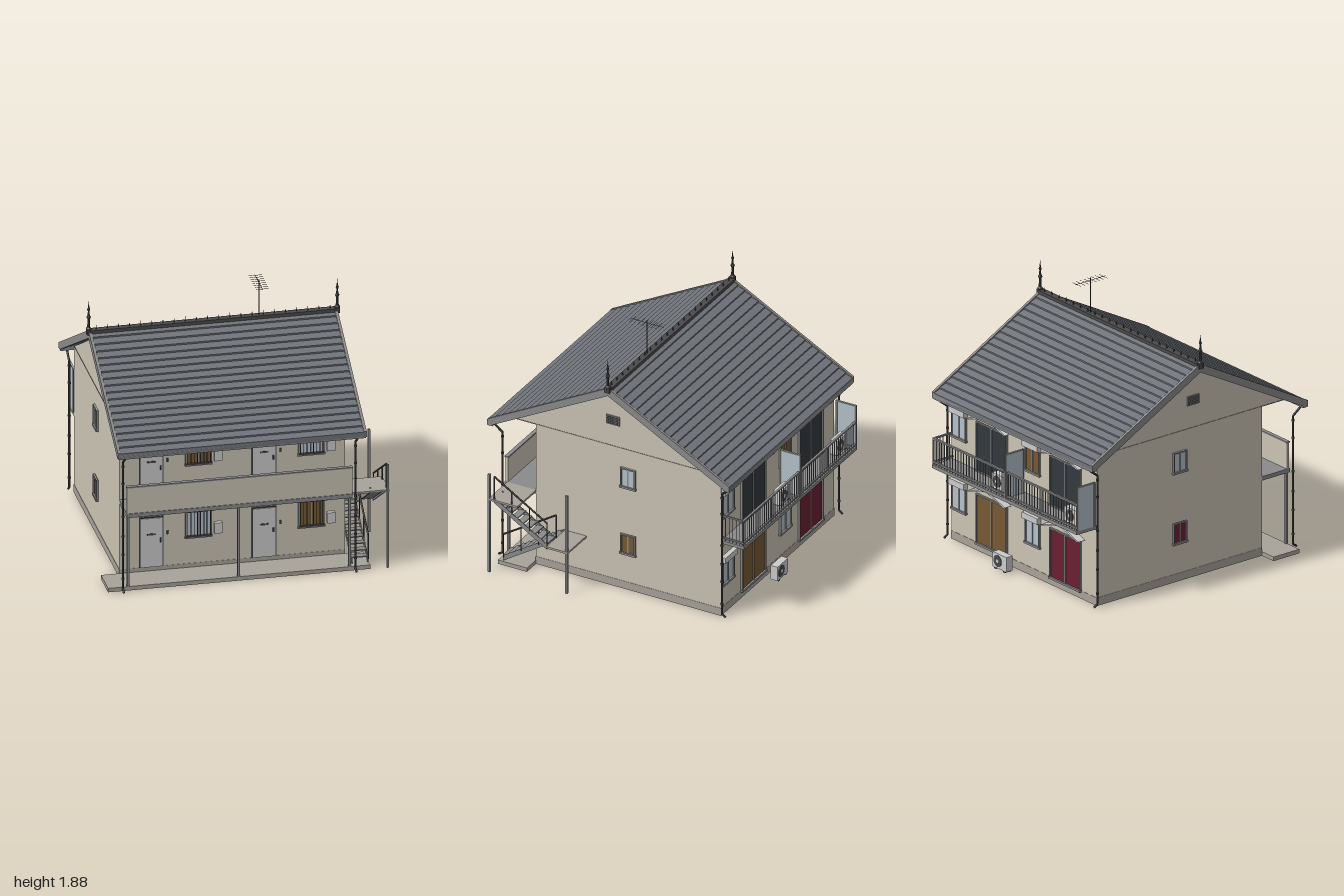
import * as THREE from 'three';

const C = { wall: 0xcbc4b5, grey: 0x8a8a8a, light: 0xc4c6c4, dark: 0x4a4a4c, roof: 0x70747a, slab: 0xa8a39a,
  blue: 0xb4c1ca, brown: 0x765834, red: 0x6a1f30, navy: 0x33393f };
const mats = {};
const mat = (c) => (mats[c] ??= new THREE.MeshStandardMaterial({ color: c, flatShading: true }));

function add(parent, name, geo, color) {
  const m = new THREE.Mesh(geo, mat(color));
  m.name = name;
  parent.add(m);
  return m;
}
// box from its minimum and maximum on each axis
function box(parent, name, x0, x1, y0, y1, z0, z1, color) {
  const m = add(parent, name, new THREE.BoxGeometry(x1 - x0, y1 - y0, z1 - z0), color);
  m.position.set((x0 + x1) / 2, (y0 + y1) / 2, (z0 + z1) / 2);
  return m;
}
// round bar between two points
function bar(parent, name, p, q, r, color = C.dark, sides = 6) {
  const a = new THREE.Vector3(...p), b = new THREE.Vector3(...q), d = b.clone().sub(a);
  const m = add(parent, name, new THREE.CylinderGeometry(r, r, d.length(), sides), color);
  m.position.copy(a).add(b).multiplyScalar(0.5);
  m.quaternion.setFromUnitVectors(new THREE.Vector3(0, 1, 0), d.normalize());
  return m;
}
// profile of [z, y] points extruded along x
function extrudeX(parent, name, pts, x0, x1, color) {
  const s = new THREE.Shape(pts.map(([z, y]) => new THREE.Vector2(-z, y)));
  const g = new THREE.ExtrudeGeometry(s, { depth: x1 - x0, bevelEnabled: false });
  g.rotateY(Math.PI / 2).translate(x0, 0, 0);
  return add(parent, name, g, color);
}
// group whose local +z points out of a wall
function onWall(parent, name, x, y, z, turn) {
  const g = new THREE.Group();
  g.name = name;
  g.position.set(x, y, z);
  g.rotation.y = turn;
  parent.add(g);
  return g;
}
// framed two-pane window, origin at the bottom centre
function windowUnit(g, w, h, pane) {
  const t = 0.01;
  box(g, 'pane', -w / 2, w / 2, 0, h, 0, 0.006, pane);
  for (const s of [-1, 1]) box(g, 'frameSide', s * w / 2 - t / 2, s * w / 2 + t / 2, 0, h, 0, 0.015, C.grey);
  box(g, 'mullion', -t / 2, t / 2, 0, h, 0, 0.012, C.grey);
  box(g, 'frameTop', -w / 2, w / 2, h - t, h, 0, 0.015, C.grey);
  box(g, 'sill', -w / 2 - t, w / 2 + t, -t, t / 2, 0, 0.02, C.grey);
}
// small gabled canopy of two sloping boards
function canopy(g, w, y, rise, depth) {
  const t = 0.016, s = new THREE.Shape();
  [[-w / 2, y], [0, y + rise], [w / 2, y], [w / 2 - t, y - 0.007], [0, y + rise - t], [t - w / 2, y - 0.007]]
    .forEach(([a, b], i) => (i ? s.lineTo(a, b) : s.moveTo(a, b)));
  add(g, 'canopy', new THREE.ExtrudeGeometry(s, { depth, bevelEnabled: false }), C.light);
  box(g, 'canopyPeak', -0.01, 0.01, y + rise - 0.01, y + rise + 0.012, 0, depth + 0.004, C.grey);
}
function outdoorUnit(parent, x, y, z) {
  const g = onWall(parent, 'airConditioner', x, y, z, Math.PI);
  box(g, 'case', -0.075, 0.075, 0.01, 0.12, -0.025, 0.03, C.light);
  for (const s of [-1, 1]) box(g, 'foot', s * 0.05 - 0.01, s * 0.05 + 0.01, 0, 0.01, -0.025, 0.03, C.dark);
  const fan = add(g, 'fan', new THREE.CylinderGeometry(0.043, 0.043, 0.004, 20), C.dark);
  fan.rotation.x = Math.PI / 2;
  fan.position.set(-0.02, 0.065, 0.031);
  const hub = add(g, 'fanHub', new THREE.CylinderGeometry(0.014, 0.014, 0.008, 12), C.light);
  hub.rotation.x = Math.PI / 2;
  hub.position.set(-0.02, 0.065, 0.031);
}

function buildShell(g) {
  box(g, 'foundation', -0.872, 0.732, 0, 0.06, -0.822, 0.652, C.slab);
  box(g, 'walls', -0.87, 0.73, 0.06, 1.12, -0.82, 0.65, C.wall);
  extrudeX(g, 'attic', [[0.86, 1.12], [0.035, 1.565], [-0.8, 1.12]], -0.872, 0.732, C.wall);
  for (const x of [-0.874, 0.73]) box(g, 'gableTrim', x, x + 0.004, 1.115, 1.121, -0.8, 0.86, C.grey);
  box(g, 'groundSlab', -1, 0.86, 0, 0.03, 0.65, 0.88, C.slab);
}

function buildRoof(g) {
  const rows = 18, ridgeY = 1.605, eaveY = 1.088;
  for (const eave of [0.995, -0.93]) {
    // stepped tile courses over a flat underside
    const pts = [[0.035, ridgeY]];
    for (let i = 1; i <= rows; i++) {
      const t = i / rows, z = 0.035 + (eave - 0.035) * t, y = ridgeY + (eaveY - ridgeY) * t;
      pts.push([z, y + 0.008]);
      if (i < rows) pts.push([z, y - 0.003]);
    }
    pts.push([eave, eaveY - 0.03], [0.035, ridgeY - 0.045]);
    extrudeX(g, 'roofSlope', pts, -0.95, 0.805, C.roof);
    const s = Math.sign(eave);
    for (const x of [-0.955, 0.79])
      extrudeX(g, 'bargeBoard', [[0.035, ridgeY + 0.012], [eave, eaveY + 0.012], [eave, eaveY - 0.03],
        [eave - s * 0.03, eaveY - 0.03], [0.035, ridgeY - 0.05]], x, x + 0.02, C.grey);
    // gutter and downpipes
    box(g, 'gutter', -0.95, 0.805, 1.05, 1.085, Math.min(eave, eave - s * 0.04), Math.max(eave, eave - s * 0.04), C.grey);
    const zp = s > 0 ? 0.905 : -0.84;
    for (const x of [-0.9, 0.75]) {
      const path = [[x, 1.06, eave - s * 0.02], [x, 1.04, eave - s * 0.025], [x, 0.99, zp], [x, 0.03, zp], [x, 0.01, zp + s * 0.03]];
      for (let i = 0; i < 4; i++) bar(g, 'downpipe', path[i], path[i + 1], 0.008, C.dark, 8);
      for (const y of [0.1, 0.28, 0.42, 0.57, 0.82, 0.95]) bar(g, 'pipeClip', [x, y, zp], [x, y + 0.012, zp], 0.012);
    }
  }
  // ridge with small spikes and end finials
  box(g, 'ridgeCap', -0.95, 0.805, 1.585, 1.62, 0.01, 0.06, C.dark);
  for (let i = 0; i < 22; i++) {
    const m = add(g, 'ridgeSpike', new THREE.ConeGeometry(0.006, i % 2 ? 0.03 : 0.045, 5), C.dark);
    m.position.set(-0.9 + i * 0.079, 1.635, 0.035);
  }
  const profile = [[0.02, 1.6], [0.02, 1.63], [0.011, 1.64], [0.008, 1.7], [0.016, 1.715], [0.008, 1.73],
    [0.006, 1.76], [0.011, 1.775], [0.005, 1.79], [0, 1.84]].map((p) => new THREE.Vector2(...p));
  for (const x of [-0.953, 0.81]) {
    add(g, 'finial', new THREE.LatheGeometry(profile, 8), C.dark).position.set(x, 0, 0.035);
    box(g, 'finialBase', x - 0.015, x + 0.015, 1.585, 1.625, 0.015, 0.055, C.dark);
  }
  // aerial
  bar(g, 'aerialMast', [0.255, 1.58, 0.035], [0.255, 1.88, 0.035], 0.004);
  bar(g, 'aerialBoom', [0.255, 1.862, -0.1], [0.255, 1.862, 0.165], 0.002);
  for (let i = 0; i < 8; i++) {
    const z = -0.09 + i * 0.034;
    bar(g, 'aerialRod', [0.208, 1.862, z], [0.302, 1.862, z], 0.0017, C.dark, 4);
  }
}

function buildFront(g) {
  [0.06, 0.61].forEach((y, floor) => [-0.645, 0.155].forEach((x, i) => {
    const d = onWall(g, 'frontDoor', x, y, 0.65, 0);
    box(d, 'doorFrame', -0.087, 0.087, 0, 0.38, 0, 0.008, C.dark);
    box(d, 'doorLeaf', -0.079, 0.079, 0.004, 0.372, 0, 0.014, C.light);
    box(d, 'letterSlot', -0.03, 0.03, 0.245, 0.257, 0, 0.018, C.dark);
    box(d, 'handle', 0.06, 0.07, 0.19, 0.22, 0, 0.025, C.dark);
    box(d, 'doorbell', 0.11, 0.122, 0.24, 0.265, 0, 0.012, C.dark);
    const w = onWall(g, 'frontWindow', x + 0.335, y + 0.205, 0.65, 0);
    windowUnit(w, 0.175, 0.2, floor === i ? C.blue : C.brown);
    for (let k = 0; k < 8; k++) bar(w, 'windowBar', [-0.08 + k * 0.0229, 0, 0.024], [-0.08 + k * 0.0229, 0.2, 0.024], 0.003);
    for (const h of [0.005, 0.195]) box(w, 'barRail', -0.09, 0.09, h - 0.005, h + 0.005, 0.01, 0.028, C.dark);
    canopy(w, 0.225, 0.205, 0.06, 0.05);
    box(g, 'meterBox', x + 0.445, x + 0.5, y + 0.22, y + 0.3, 0.65, 0.68, C.light);
    box(g, 'ceilingLight', x + 0.105, x + 0.24, y + 0.47, y + 0.485, 0.68, 0.71, C.light);
  }));
  // upper walkway, parapet and posts
  box(g, 'walkway', -0.87, 0.73, 0.56, 0.59, 0.65, 0.9, C.grey);
  box(g, 'parapet', -0.87, 0.73, 0.59, 0.785, 0.875, 0.895, C.wall);
  box(g, 'parapetCap', -0.872, 0.732, 0.783, 0.793, 0.87, 0.9, C.grey);
  for (const x of [-0.857, -0.073, 0.713]) box(g, 'walkwayPost', x - 0.009, x + 0.009, 0.03, 0.56, 0.868, 0.886, C.grey);
}

function buildStairs(g) {
  box(g, 'upperLanding', 0.73, 0.995, 0.575, 0.59, 0.65, 0.88, C.slab);
  box(g, 'middleLanding', 0.73, 0.995, 0.32, 0.335, 0.25, 0.42, C.slab);
  for (const z of [0.265, 0.88]) box(g, 'stairPost', 0.975, 0.992, 0, 0.78, z - 0.009, z + 0.009, C.grey);
  // two flights: [x0, x1, z and y of foot, z and y of top]
  for (const [x0, x1, z0, y0, z1, y1] of [[0.735, 0.855, 0.84, 0.06, 0.42, 0.33], [0.865, 0.985, 0.42, 0.33, 0.84, 0.585]]) {
    for (const x of [x0, x1 - 0.008])
      extrudeX(g, 'stringer', [[z0, y0 + 0.015], [z1, y1 + 0.015], [z1, y1 - 0.025], [z0, y0 - 0.025]], x, x + 0.008, C.grey);
    for (let i = 0; i < 9; i++) {
      const t = (i + 0.5) / 9, z = z0 + (z1 - z0) * t, y = y0 + (y1 - y0) * t;
      box(g, 'tread', x0, x1, y, y + 0.008, z - 0.025, z + 0.025, C.grey);
    }
    const xr = x1 - 0.002;
    bar(g, 'handrail', [xr, y0 + 0.185, z0], [xr, y1 + 0.185, z1], 0.007);
    for (let i = 0; i < 4; i++) {
      const z = z0 + (z1 - z0) * i / 3, y = y0 + (y1 - y0) * i / 3;
      bar(g, 'baluster', [xr, y, z], [xr, y + 0.185, z], 0.005);
    }
  }
}

function buildBack(g) {
  [0.06, 0.6].forEach((y, floor) => [0.28, -0.53].forEach((x, i) => {
    const d = onWall(g, 'patioDoor', x, y, -0.82, Math.PI);
    windowUnit(d, 0.33, 0.37, floor ? C.navy : [C.brown, C.red][i]);
    canopy(d, 0.42, 0.39, 0.07, 0.06);
    const w = onWall(g, 'backWindow', x + 0.36, y + 0.18, -0.82, Math.PI);
    windowUnit(w, 0.15, 0.18, floor && i ? C.brown : C.blue);
    box(w, 'shutterBox', -0.085, 0.085, 0.18, 0.225, 0, 0.035, C.light);
  }));
  outdoorUnit(g, 0.06, 0, -0.905);
  for (const x of [-0.75, 0.05]) outdoorUnit(g, x, 0.6, -0.92);
  // balconies with barred railings and privacy panels
  box(g, 'balconyFloor', -0.87, 0.725, 0.575, 0.6, -1, -0.82, C.grey);
  for (const x of [-0.866, -0.08]) {
    box(g, 'privacyPanel', x - 0.004, x + 0.004, 0.6, 0.93, -0.99, -0.84, C.blue);
    for (const z of [-0.993, -0.843]) box(g, 'panelPost', x - 0.007, x + 0.007, 0.6, 0.93, z - 0.006, z + 0.006, C.grey);
    box(g, 'panelTop', x - 0.007, x + 0.007, 0.92, 0.93, -0.99, -0.84, C.grey);
  }
  for (const [a, b] of [[-0.865, -0.1], [-0.065, 0.72]]) {
    for (const y of [0.615, 0.79]) box(g, 'railing', a, b, y, y + 0.012, -0.998, -0.982, C.grey);
    for (let i = 0; i <= 26; i++) {
      const x = a + (b - a) * i / 26;
      bar(g, 'railingBar', [x, 0.6, -0.99], [x, 0.795, -0.99], i % 13 ? 0.0035 : 0.008, C.grey);
    }
  }
  for (const y of [0.615, 0.79]) box(g, 'endRail', 0.71, 0.722, y, y + 0.012, -0.99, -0.82, C.grey);
  for (let i = 1; i < 6; i++) bar(g, 'endRailBar', [0.716, 0.6, -0.99 + i * 0.028], [0.716, 0.795, -0.99 + i * 0.028], 0.0035, C.grey);
}

function buildSides(g) {
  for (const s of [-1, 1]) {
    const x = s > 0 ? 0.73 : -0.87, turn = s * Math.PI / 2;
    windowUnit(onWall(g, 'upperSideWindow', x, 0.82, -0.085, turn), 0.11, 0.15, C.blue);
    windowUnit(onWall(g, 'lowerSideWindow', x, 0.29, -0.085, turn), 0.11, 0.15, s > 0 ? C.brown : C.red);
    const v = onWall(g, 'atticVent', x, 1.29, 0.035, turn);
    box(v, 'ventFrame', -0.053, 0.053, 0, 0.07, 0, 0.01, C.grey);
    for (let i = 0; i < 5; i++) box(v, 'louvre', -0.045, 0.045, 0.009 + i * 0.012, 0.013 + i * 0.012, 0, 0.014, C.dark);
  }
}

export function createModel() {
  const model = new THREE.Group();
  model.name = 'apartmentHouse';
  for (const [name, build] of Object.entries({ shell: buildShell, roof: buildRoof, frontSide: buildFront,
    stairs: buildStairs, backSide: buildBack, gableSides: buildSides })) {
    const g = new THREE.Group();
    g.name = name;
    build(g);
    model.add(g);
  }
  return model;
}
